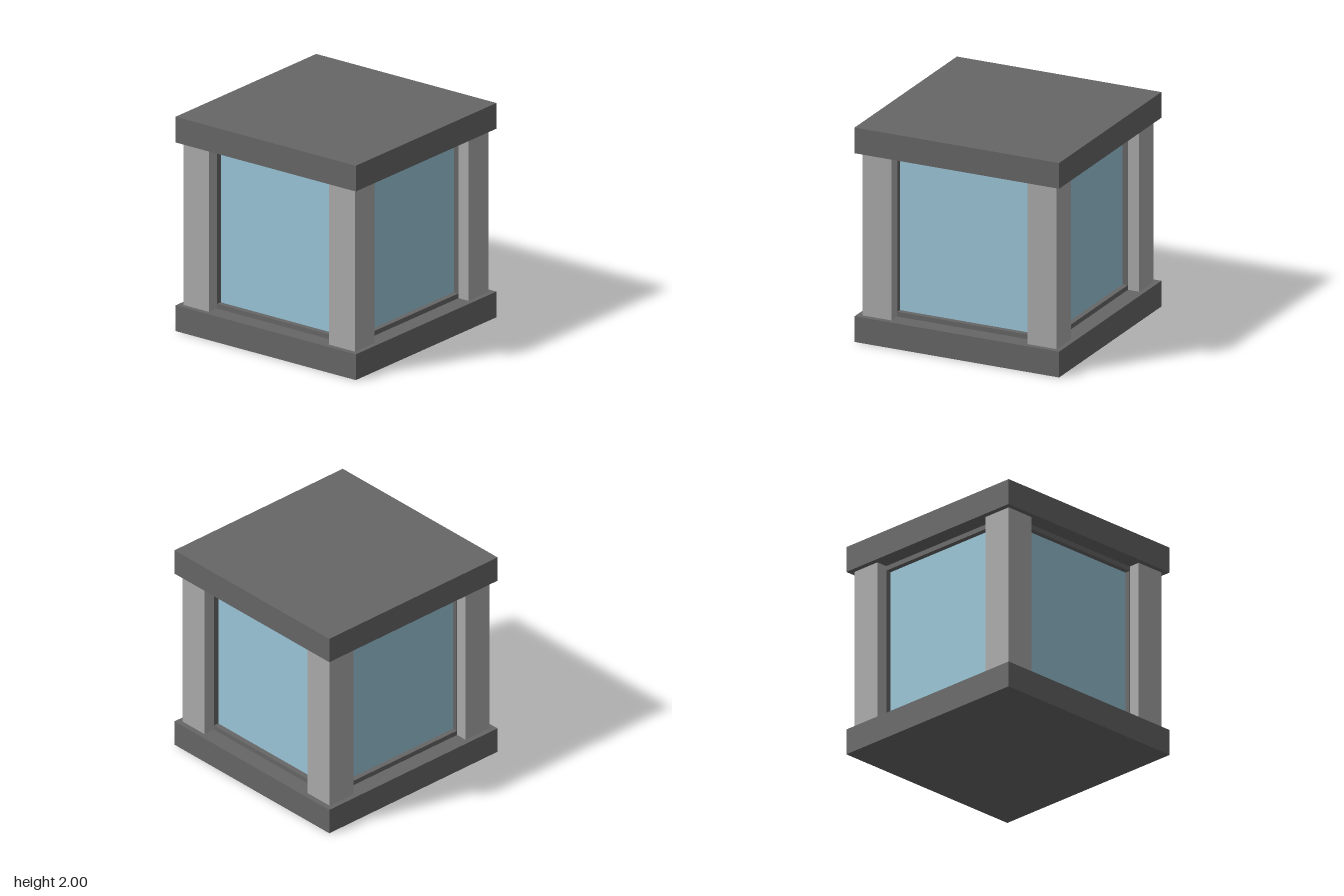
import * as THREE from 'three';

export function createModel() {
  const group = new THREE.Group();
  const mat = (name, color) => {
    const m = new THREE.MeshStandardMaterial({ color });
    m.name = name;
    return m;
  };
  const darkGrey = mat('dark grey', 0x666666);
  const lightGrey = mat('light grey', 0xaaaaaa);
  const paleBlue = mat('pale blue', 0x9ac5d8);

  const add = (name, geometry, material, x, y, z) => {
    const mesh = new THREE.Mesh(geometry, material);
    mesh.name = name;
    mesh.position.set(x, y, z);
    group.add(mesh);
    return mesh;
  };

  // Base and roof slabs
  const slab = new THREE.BoxGeometry(2, 0.24, 2);
  add('base', slab, darkGrey, 0, 0.12, 0);
  add('roof', slab, darkGrey, 0, 1.88, 0);

  // Four corner pillars
  const pillar = new THREE.BoxGeometry(0.284, 1.52, 0.284);
  for (const x of [-1, 1]) for (const z of [-1, 1]) {
    add('cornerPillar', pillar, lightGrey, x * 0.808, 1, z * 0.808);
  }

  // Glass block behind the frames
  add('glass', new THREE.BoxGeometry(1.58, 1.52, 1.58), paleBlue, 0, 1, 0);

  // One window frame per side, its uprights tucked into the pillars
  const rect = (target, w, h) => {
    target.moveTo(-w, -h).lineTo(w, -h).lineTo(w, h).lineTo(-w, h).closePath();
    return target;
  };
  const outline = rect(new THREE.Shape(), 0.75, 0.76);
  outline.holes.push(rect(new THREE.Path(), 0.662, 0.716));
  const frame = new THREE.ExtrudeGeometry(outline, { depth: 0.06, bevelEnabled: false });
  frame.translate(0, 0, 0.78);
  for (let i = 0; i < 4; i++) {
    add('windowFrame', frame, darkGrey, 0, 1, 0).rotation.y = i * Math.PI / 2;
  }

  return group;
}
